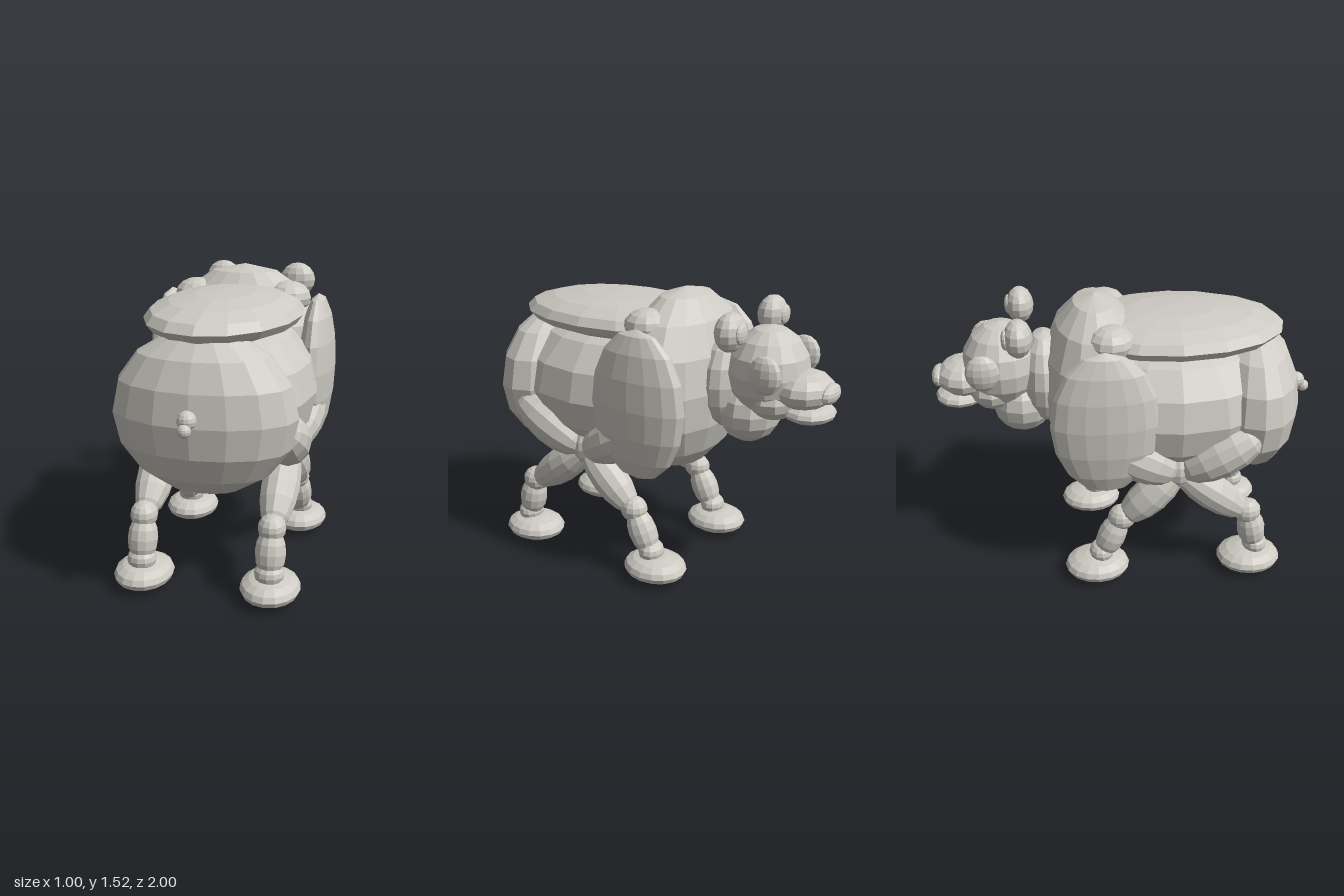
import * as THREE from 'three';

const stone = new THREE.MeshStandardMaterial({ color: 0xcccac2 });
stone.name = 'warm grey';

// Unit sphere with faceted normals
function facetedSphere(sides, rows) {
  const g = new THREE.SphereGeometry(1, sides, rows).toNonIndexed();
  g.computeVertexNormals();
  return g;
}
const large = facetedSphere(16, 8);
const small = facetedSphere(12, 8);

export function createModel() {
  const model = new THREE.Group();
  model.name = 'bear';

  function ellipsoid(name, [x, y, z], [rx, ry, rz], geometry = small) {
    const mesh = new THREE.Mesh(geometry, stone);
    mesh.name = name;
    mesh.position.set(x, y, z);
    mesh.scale.set(rx, ry, rz);
    model.add(mesh);
    return mesh;
  }

  // Ellipsoid whose poles lie on two end points
  function limb(name, a, b, radius) {
    const from = new THREE.Vector3(...a), to = new THREE.Vector3(...b);
    const axis = to.clone().sub(from);
    const mid = from.clone().add(to).multiplyScalar(0.5);
    const mesh = ellipsoid(name, mid.toArray(), [radius, axis.length() / 2, radius]);
    mesh.quaternion.setFromUnitVectors(new THREE.Vector3(0, 1, 0), axis.normalize());
  }

  // Body
  ellipsoid('belly', [0, 0.95, 0.25], [0.465, 0.4, 0.62], large);
  ellipsoid('rump', [0, 0.94, 0.66], [0.45, 0.4, 0.26], large);
  ellipsoid('chest', [0, 1.04, -0.155], [0.46, 0.48, 0.285], large);
  ellipsoid('backPlate', [0, 1.335, 0.25], [0.385, 0.11, 0.575], large);
  ellipsoid('tailBase', [0, 0.985, 0.93], [0.045, 0.045, 0.045]);
  ellipsoid('tailTip', [0, 0.95, 0.97], [0.032, 0.032, 0.032]);

  // Head, which faces -z
  ellipsoid('neck', [0, 1.08, -0.42], [0.21, 0.25, 0.13], large);
  ellipsoid('throat', [0, 0.945, -0.54], [0.18, 0.17, 0.165]);
  ellipsoid('head', [0, 1.16, -0.635], [0.215, 0.228, 0.205], large);
  ellipsoid('cheeks', [0, 1.04, -0.69], [0.19, 0.115, 0.13]);
  ellipsoid('snout', [0, 1.1, -0.83], [0.17, 0.095, 0.145]);
  ellipsoid('lowerLip', [0, 0.99, -0.86], [0.14, 0.05, 0.13]);
  ellipsoid('nose', [0, 1.1, -0.96], [0.09, 0.05, 0.04]);

  for (const [side, s] of [['left', 1], ['right', -1]]) {
    ellipsoid(side + 'Ear', [s * 0.22, 1.385, -0.535], [0.1, 0.095, 0.072]);
    ellipsoid(side + 'InnerEar', [s * 0.23, 1.385, -0.598], [0.05, 0.05, 0.02]);
    ellipsoid(side + 'EyePatch', [s * 0.222, 1.205, -0.72], [0.044, 0.095, 0.086]);
    ellipsoid(side + 'ShoulderPlate', [s * 0.405, 0.99, -0.13], [0.095, 0.39, 0.272], large);
    ellipsoid(side + 'ShoulderHump', [s * 0.25, 1.36, -0.09], [0.12, 0.085, 0.12]);

    // Legs: hip, knee, hock, ankle and foot placed along z
    const legs = [
      ['Front', -0.18, -0.045, -0.1, -0.155, -0.18],
      ['Rear', 0.68, 0.635, 0.665, 0.69, 0.66],
    ];
    for (const [end, hip, hock, pastern, ankle, foot] of legs) {
      const x = s * 0.325, n = side + end;
      limb(n + 'Thigh', [s * 0.37, 0.89, hip], [s * 0.34, 0.64, 0.25], 0.125);
      ellipsoid(n + 'Knee', [x, 0.665, 0.25], [0.085, 0.11, 0.08]);
      const d = Math.sign(hock - 0.25);
      limb(n + 'Shin', [x, 0.665, 0.25 - d * 0.02], [x, 0.355, hock], 0.098);
      ellipsoid(n + 'Hock', [x, 0.372, hock], [0.07, 0.07, 0.075]);
      limb(n + 'Pastern', [x, 0.38, 2 * pastern - ankle], [x, 0.13, ankle], 0.077);
      ellipsoid(n + 'Ankle', [x, 0.155, ankle], [0.075, 0.06, 0.068]);
      ellipsoid(n + 'Foot', [x, 0.07, foot], [0.15, 0.07, 0.175], large);
    }
  }
  return model;
}
